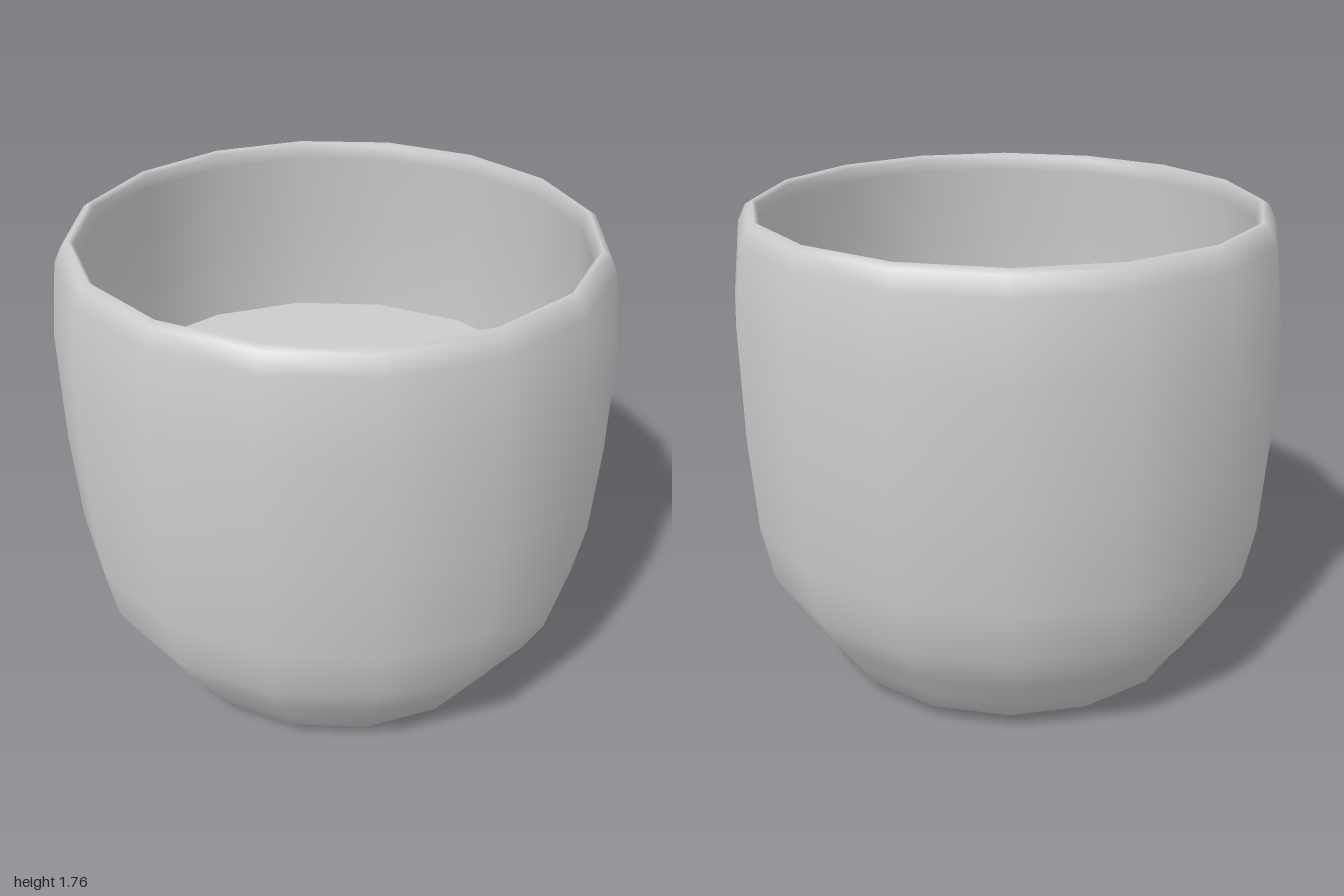
import * as THREE from 'three';

const SIDES = 16;

export function createModel() {
  const group = new THREE.Group();
  group.name = 'cup';
  const material = new THREE.MeshStandardMaterial({ color: 0xcccccc });

  // Cup wall: up the outside, over the rounded lip, down the inside
  const profile = [
    [0, 0], [0.41, 0.012], [0.63, 0.035], [0.72, 0.07], [0.77, 0.16],
    [0.86, 0.28], [0.94, 0.43], [0.98, 0.64], [1, 1], [1, 1.42],
    [0.965, 1.69], [0.935, 1.75], [0.91, 1.765], [0.895, 1.75], [0.89, 1.7],
    [0.92, 1.42], [0.93, 1], [0.91, 0.66], [0.87, 0.47], [0.8, 0.33],
    [0.7, 0.21], [0.6, 0.14], [0, 0.11],
  ].map(([r, y]) => new THREE.Vector2(r, y));
  const body = new THREE.Mesh(new THREE.LatheGeometry(profile, SIDES), material);
  body.name = 'cupBody';
  body.scale.z = 0.98;
  group.add(body);

  // Flat drink surface, set slightly towards the front
  const surface = new THREE.CircleGeometry(0.905, SIDES);
  surface.rotateX(-Math.PI / 2);
  const drink = new THREE.Mesh(
    surface,
    new THREE.MeshStandardMaterial({ color: 0xcccccc, side: THREE.DoubleSide }),
  );
  drink.name = 'drinkSurface';
  drink.scale.z = 0.965;
  drink.position.set(0, 1.09, 0.09);
  group.add(drink);

  return group;
}
